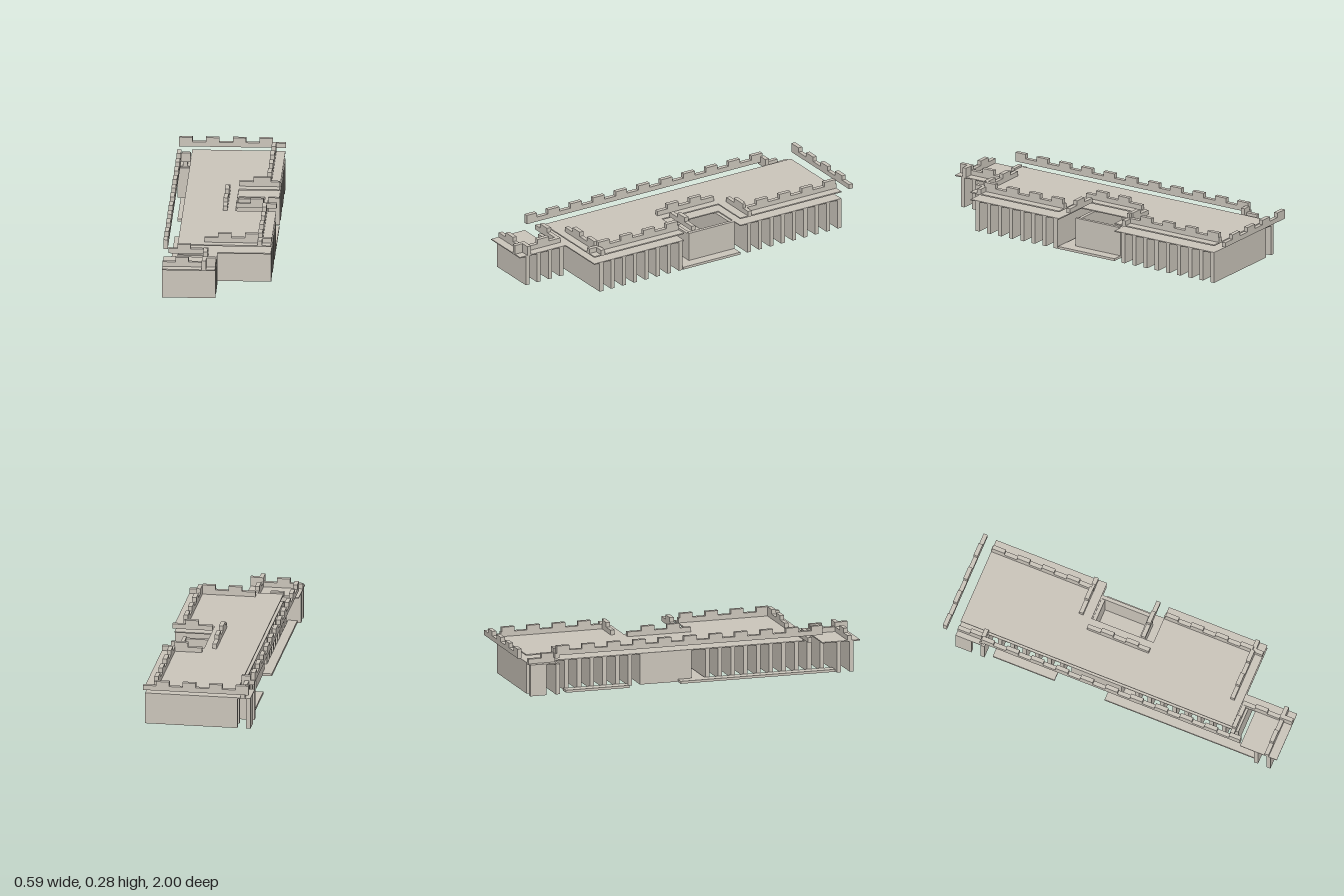
import * as THREE from 'three';

const STONE = new THREE.MeshStandardMaterial({ color: 0xccc6bc });
const CELL = 0.0743; // spacing of fins and merlons

export function createModel() {
  const model = new THREE.Group();

  // Box given by its limits on each axis
  function block(name, x0, x1, y0, y1, z0, z1, parent = model) {
    const mesh = new THREE.Mesh(new THREE.BoxGeometry(x1 - x0, y1 - y0, z1 - z0), STONE);
    mesh.position.set((x0 + x1) / 2, (y0 + y1) / 2, (z0 + z1) / 2);
    mesh.name = name;
    parent.add(mesh);
    return mesh;
  }

  // Flat slab from an outline of [x, z] points
  function slab(name, outline, y0, y1) {
    const shape = new THREE.Shape(outline.map(([x, z]) => new THREE.Vector2(x, -z)));
    const geometry = new THREE.ExtrudeGeometry(shape, { depth: y1 - y0, bevelEnabled: false });
    geometry.rotateX(-Math.PI / 2);
    const mesh = new THREE.Mesh(geometry, STONE);
    mesh.position.y = y0;
    mesh.name = name;
    model.add(mesh);
  }

  // Low wall along an axis, with merlons on every other cell of a shared grid
  function parapet(name, axis, from, to, side, y, start) {
    const group = new THREE.Group();
    group.name = name;
    const piece = (label, a, b, y0, y1) => axis === 'x'
      ? block(label, a, b, y0, y1, side, side + 0.024, group)
      : block(label, side, side + 0.024, y0, y1, a, b, group);
    piece('parapetBase', from, to, y, y + 0.027);
    for (let k = -10; k < 20; k++) {
      const a = Math.max(from, start + 2 * k * CELL);
      const b = Math.min(to, start + (2 * k + 1) * CELL);
      if (b - a > 0.01) piece('merlon', a, b, y + 0.027, y + 0.053);
    }
    model.add(group);
  }

  // Roof levels, notched for the courtyard on the left side
  const plan = [
    [-0.222, -0.925], [0.295, -0.925], [0.295, -0.26], [0.07, -0.26],
    [0.07, 0.11], [0.295, 0.11], [0.295, 0.7], [-0.222, 0.7],
  ];
  slab('upperRoof', plan, 0.215, 0.222);
  slab('lowerRoof', plan, 0.172, 0.178);
  slab('frontWingRoof', [[-0.295, 0.78], [-0.075, 0.78], [-0.075, 0.7], [0, 0.7], [0, 1], [-0.295, 1]], 0.172, 0.178);
  block('cornerRoof', -0.295, -0.222, 0.172, 0.178, -0.925, -0.77);

  // Floor plates
  block('middleFloor', -0.222, 0.295, 0, 0.014, -0.26, 0.115);
  block('frontSideFloor', -0.275, -0.222, 0, 0.014, -0.04, 0.86);
  block('backSideFloor', -0.275, -0.222, 0, 0.014, -0.71, -0.34);

  // Rows of cross walls
  for (let i = 0; i < 12; i++) {
    const z = 0.95 - i * CELL;
    const left = i < 4 ? 0 : 0.295;
    block('crossWall', i < 2 ? -0.295 : -0.222, left, 0, 0.172, z - 0.012, z + 0.012);
  }
  for (let i = 0; i < 9; i++) {
    const z = -0.318 - i * CELL;
    block('crossWall', i === 6 ? -0.295 : -0.222, 0.295, 0, 0.172, z - 0.012, z + 0.012);
  }
  block('cornerWall', -0.295, -0.27, 0, 0.172, -0.925, -0.83);

  // Courtyard enclosure
  block('courtyardWall', 0.215, 0.235, 0.014, 0.178, -0.26, 0.04);
  block('courtyardWall', -0.222, -0.2, 0.014, 0.178, -0.26, 0.04);
  block('courtyardWall', -0.2, 0.215, 0.014, 0.172, -0.26, -0.24);
  block('courtyardWall', -0.2, 0.215, 0.014, 0.172, 0.02, 0.04);

  // Upper parapets
  parapet('rightParapet', 'z', -0.77, 0.78, -0.297, 0.222, -0.92);
  parapet('backParapet', 'x', -0.297, 0.295, -1, 0.222, 0);
  parapet('leftBackParapet', 'z', -0.925, -0.31, 0.221, 0.222, -0.92);
  parapet('leftFrontParapet', 'z', 0.11, 0.7, 0.221, 0.222, -0.92);
  parapet('frontParapet', 'x', -0.075, 0.295, 0.631, 0.222, 0);
  parapet('courtyardBackParapet', 'x', 0.07, 0.295, -0.335, 0.222, 0);
  parapet('courtyardFrontParapet', 'x', 0.07, 0.295, 0.036, 0.222, 0);
  parapet('courtyardInnerParapet', 'z', -0.26, 0.11, 0, 0.222, -0.92);

  // Lower parapets
  parapet('wingFrontParapet', 'x', -0.295, 0, 0.927, 0.178, -3 * CELL);
  parapet('wingSideParapet', 'z', 0.7, 1, -0.074, 0.178, 1 - CELL);
  parapet('wingBackParapet', 'x', -0.272, -0.075, 0.702, 0.178, -3 * CELL);
  parapet('cornerFrontParapet', 'x', -0.295, -0.222, -0.78, 0.205, -0.272);
  parapet('cornerSideParapet', 'z', -0.925, -0.77, -0.265, 0.178, -0.85);

  return model;
}
